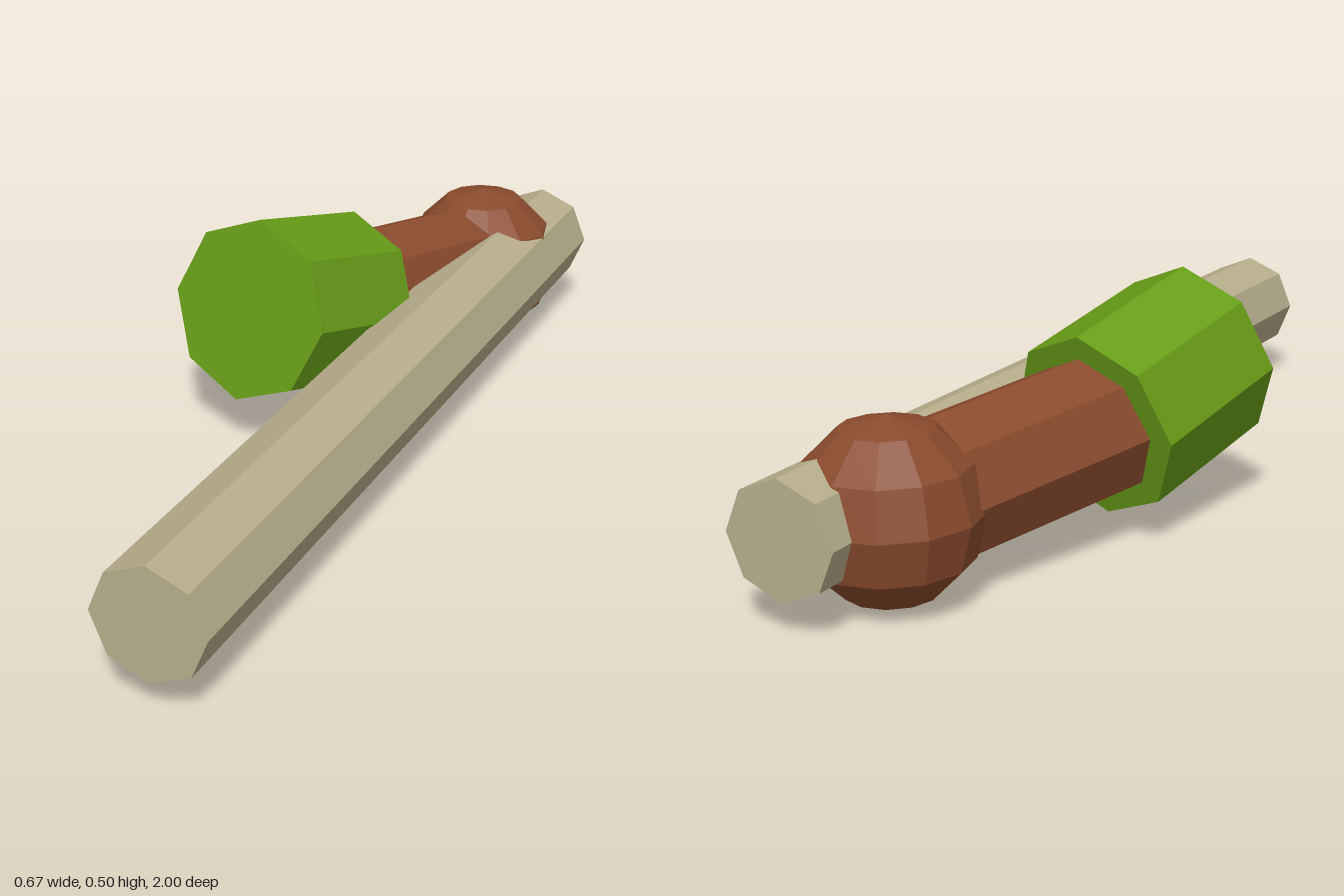
import * as THREE from 'three';

const material = (color) => new THREE.MeshStandardMaterial({ color, flatShading: true });

// Eight-sided bar between two points, with one edge on top
function bar(name, from, to, radiusFrom, radiusTo, mat) {
  const a = new THREE.Vector3(...from);
  const b = new THREE.Vector3(...to);
  const geometry = new THREE.CylinderGeometry(radiusFrom, radiusTo, a.distanceTo(b), 8);
  geometry.rotateX(-Math.PI / 2);
  const mesh = new THREE.Mesh(geometry, mat);
  mesh.name = name;
  mesh.position.copy(a).add(b).multiplyScalar(0.5);
  mesh.lookAt(b);
  return mesh;
}

export function createModel() {
  const model = new THREE.Group();
  model.name = 'armWithPole';
  const wood = material(0xb8ae8c);
  const brown = material(0x8a4b2d);
  const green = material(0x679c17);

  // Long pole, slightly turned about the vertical
  model.add(bar('pole', [0.103, 0.182, -0.993], [0.22, 0.182, 0.993], 0.115, 0.115, wood));

  // Ball-shaped hand around the rear of the pole
  const hand = new THREE.Mesh(new THREE.SphereGeometry(0.181, 12, 6), brown);
  hand.name = 'hand';
  hand.position.set(0.04, 0.181, -0.765);
  model.add(hand);

  // Forearm from the hand into the sleeve
  model.add(bar('forearm', [0.04, 0.181, -0.765], [-0.1, 0.235, -0.25], 0.142, 0.147, brown));

  // Closed sleeve
  model.add(bar('sleeve', [-0.093, 0.231, -0.285], [-0.142, 0.313, 0.045], 0.197, 0.197, green));

  return model;
}
